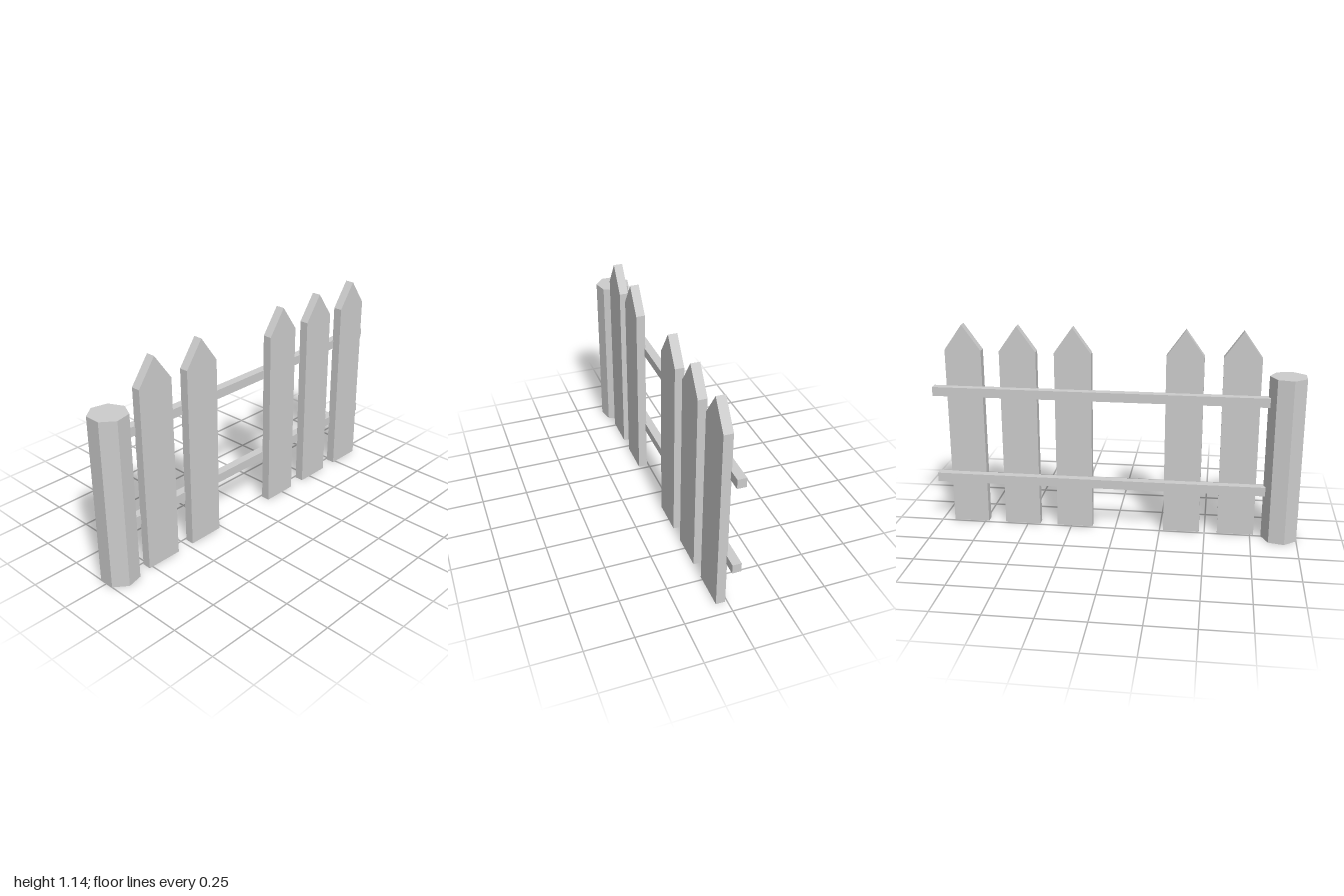
import * as THREE from 'three';

export function createModel() {
  const group = new THREE.Group();
  const grey = new THREE.MeshStandardMaterial({ color: 0xcccccc, flatShading: true });
  grey.name = 'light grey';

  const add = (name, geometry, x, y, z) => {
    const mesh = new THREE.Mesh(geometry, grey);
    mesh.name = name;
    mesh.position.set(x, y, z);
    group.add(mesh);
    return mesh;
  };

  // Seven-sided end post, flat side to the front
  const postHeight = 0.915;
  const post = add('post', new THREE.CylinderGeometry(0.1, 0.1, postHeight, 7), 0, postHeight / 2, 0.91);
  post.rotation.y = Math.PI;

  // Two rails running back from the post
  const railGeometry = new THREE.BoxGeometry(0.047, 0.05, 1.82);
  add('lowerRail', railGeometry, -0.008, 0.276, -0.09);
  add('upperRail', railGeometry, -0.008, 0.776, -0.09);

  // Pointed pickets, with one missing from the even spacing
  const outline = new THREE.Shape([
    [-0.1, 0], [0.1, 0], [0.1, 1], [0, 1.14], [-0.1, 1],
  ].map(([x, y]) => new THREE.Vector2(x, y)));
  const picketGeometry = new THREE.ExtrudeGeometry(outline, { depth: 0.049, bevelEnabled: false });
  picketGeometry.rotateY(Math.PI / 2);
  [0.67, 0.37, -0.23, -0.53, -0.83].forEach((z, i) => add(`picket${i + 1}`, picketGeometry, 0.011, 0, z));

  return group;
}
